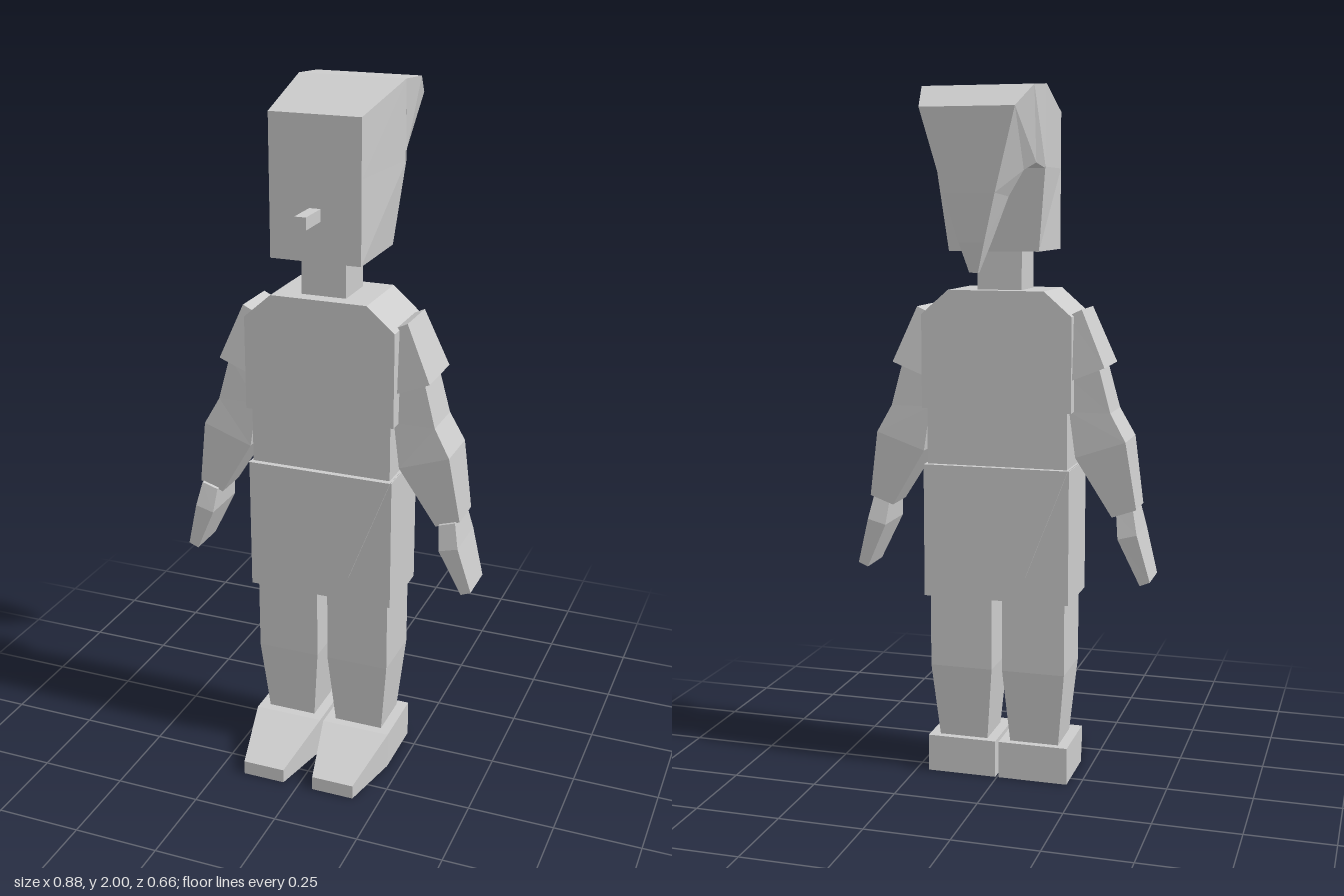
import * as THREE from 'three';

const material = new THREE.MeshStandardMaterial({ color: 0xcccccc, flatShading: true });

// Skins a run of four-cornered sections, each anticlockwise seen from the end of the run.
function loft(sections) {
  const pos = [];
  const quad = (a, b, c, d) => pos.push(...a, ...b, ...c, ...a, ...c, ...d);
  for (let s = 0; s < sections.length - 1; s++) {
    const p = sections[s], q = sections[s + 1];
    for (let i = 0; i < 4; i++) {
      const j = (i + 1) % 4;
      quad(p[i], p[j], q[j], q[i]);
    }
  }
  quad(...[...sections[0]].reverse());
  quad(...sections[sections.length - 1]);
  const geo = new THREE.BufferGeometry();
  geo.setAttribute('position', new THREE.Float32BufferAttribute(pos, 3));
  geo.computeVertexNormals();
  return geo;
}

// Limb section: inner edge, outer edge, front z, back z (listed bottom to top).
const limb = (xi, yi, xo, yo, zf, zb) => [[xi, yi, zf], [xo, yo, zf], [xo, yo, zb], [xi, yi, zb]];
// Level section, symmetric in x.
const level = (y, hw, zf, zb) => limb(-hw, y, hw, y, zf, zb);

function add(parent, name, geometry) {
  const mesh = new THREE.Mesh(geometry, material);
  mesh.name = name;
  parent.add(mesh);
  return mesh;
}

export function createModel() {
  const model = new THREE.Group();
  model.name = 'figure';

  // Head: narrow face, wider towards the back and top
  const headSection = (yf, yb, zb, hb) =>
    [[-0.13, yf, 0.17], [0.13, yf, 0.17], [hb, yb, zb], [-hb, yb, zb]];
  add(model, 'head', loft([
    headSection(1.55, 1.55, -0.08, 0.13),
    headSection(1.78, 1.78, -0.11, 0.155),
    headSection(1.94, 2.0, -0.1, 0.155),
  ]));

  // Hood tail curling back and down: [inner z, y, half width, outer z, y, half width]
  const tail = [
    [-0.105, 1.775, 0.155, -0.1, 2.0, 0.155],
    [-0.15, 1.79, 0.14, -0.23, 1.99, 0.155],
    [-0.185, 1.77, 0.115, -0.33, 1.93, 0.13],
    [-0.21, 1.7, 0.08, -0.31, 1.71, 0.07],
    [-0.235, 1.58, 0.04, -0.29, 1.58, 0.035],
    [-0.255, 1.5, 0.012, -0.27, 1.5, 0.012],
  ];
  add(model, 'hoodTail', loft(tail.map(([zi, yi, hi, zo, yo, ho]) =>
    [[hi, yi, zi], [-hi, yi, zi], [-ho, yo, zo], [ho, yo, zo]])));

  add(model, 'nose', new THREE.BoxGeometry(0.032, 0.034, 0.11)).position.set(0, 1.678, 0.215);
  add(model, 'neck', new THREE.BoxGeometry(0.13, 0.15, 0.13)).position.set(0, 1.49, 0.045);

  // Torso with sloping shoulders, waist and skirt
  add(model, 'chest', loft([
    level(1.1, 0.22, 0.153, -0.063),
    level(1.37, 0.22, 0.153, -0.063),
    level(1.44, 0.14, 0.153, -0.063),
  ]));
  add(model, 'waist', loft([level(0.92, 0.207, 0.14, -0.053), level(1.11, 0.207, 0.14, -0.053)]));
  add(model, 'skirt', loft([level(0.545, 0.216, 0.15, -0.065), level(0.935, 0.216, 0.15, -0.065)]));
  add(model, 'apron', loft([level(0.62, 0.09, 0.157, -0.071), level(0.937, 0.214, 0.157, -0.071)]));

  // Limbs, built on the left and mirrored
  for (const side of [1, -1]) {
    const limbs = new THREE.Group();
    limbs.name = side > 0 ? 'leftLimbs' : 'rightLimbs';
    limbs.scale.x = side;
    model.add(limbs);

    add(limbs, 'shoulder', loft([
      limb(0.2, 1.185, 0.312, 1.23, 0.126, -0.052),
      limb(0.2, 1.37, 0.242, 1.39, 0.112, -0.034),
    ]));
    add(limbs, 'arm', loft([
      limb(0.33, 0.8, 0.4, 0.825, 0.097, -0.015),
      limb(0.226, 0.97, 0.37, 1.02, 0.118, -0.032),
      limb(0.207, 1.1, 0.325, 1.1, 0.111, -0.028),
      limb(0.2, 1.2, 0.29, 1.23, 0.106, -0.026),
    ]));
    add(limbs, 'hand', loft([
      limb(0.413, 0.605, 0.442, 0.617, 0.108, -0.013),
      limb(0.35, 0.74, 0.405, 0.755, 0.126, -0.028),
      limb(0.342, 0.81, 0.39, 0.825, 0.108, -0.012),
    ]));
    add(limbs, 'leg', loft([
      limb(0.036, 0.1, 0.18, 0.1, 0.112, -0.028),
      limb(0.016, 0.33, 0.202, 0.33, 0.132, -0.05),
      limb(0.016, 0.56, 0.202, 0.56, 0.132, -0.05),
    ]));

    // Foot runs heel to toe: [z, inner x, outer x, height]
    const foot = [
      [-0.05, 0.005, 0.212, 0.11],
      [0.14, 0.005, 0.212, 0.11],
      [0.33, 0.046, 0.172, 0.042],
    ];
    add(limbs, 'foot', loft(foot.map(([z, a, b, h]) => [[a, 0, z], [b, 0, z], [b, h, z], [a, h, z]])));
  }
  return model;
}
